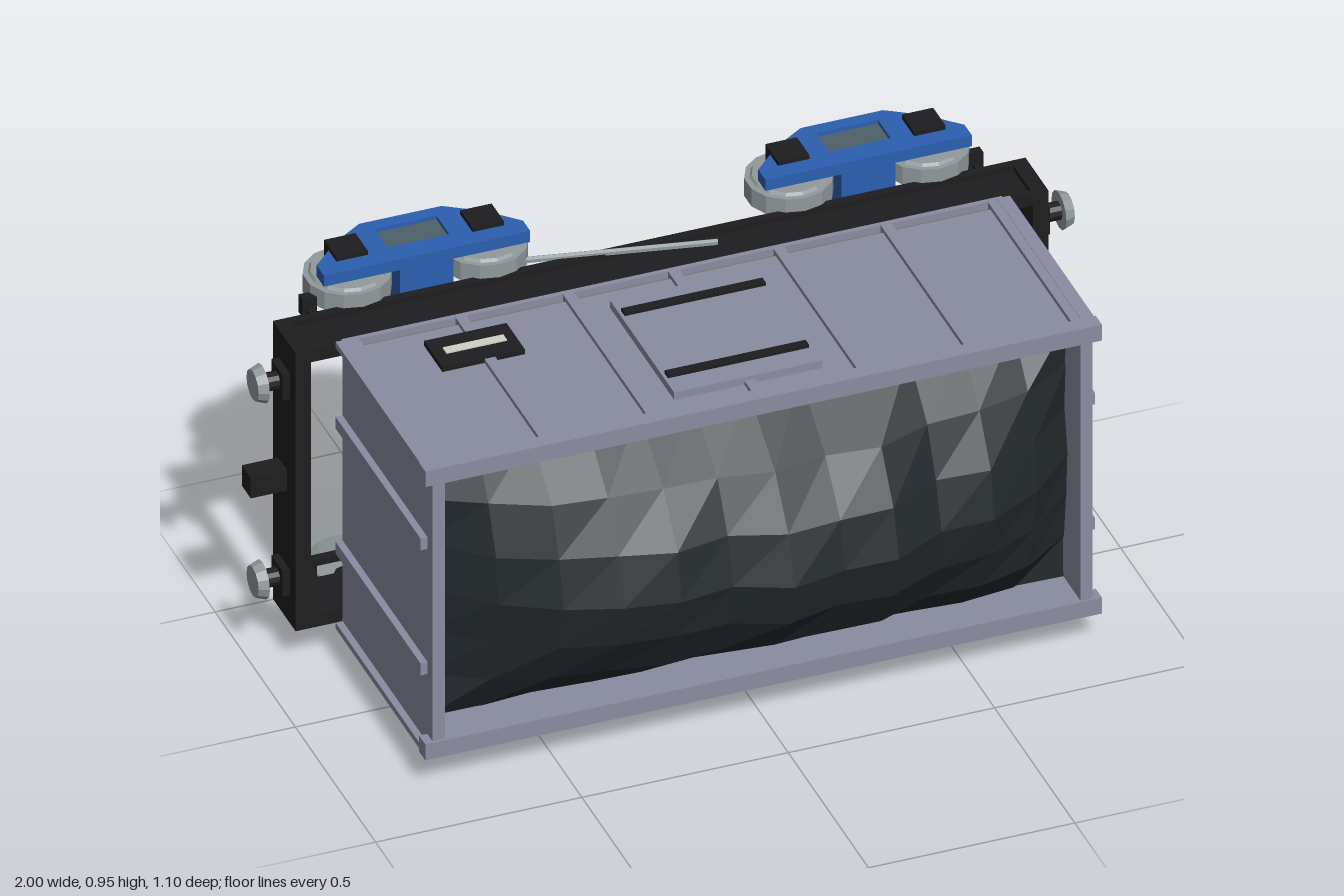
import * as THREE from 'three';

const mat = (color, side = THREE.FrontSide) => new THREE.MeshStandardMaterial({ color, side, flatShading: true });
const BODY = mat(0x8a8ca0), BLACK = mat(0x1d1d1f), BLUE = mat(0x2b5fb0), STEEL = mat(0x929a9c, THREE.DoubleSide);
const FLOOR = mat(0x77756c), COAL = mat(0x23292c, THREE.DoubleSide), PANEL = mat(0x4c5f68), LABEL = mat(0xd0d0c4);

function add(parent, name, geometry, material, x = 0, y = 0, z = 0) {
  const mesh = new THREE.Mesh(geometry, material);
  mesh.name = name;
  mesh.position.set(x, y, z);
  parent.add(mesh);
  return mesh;
}

// box from its bounds, in any order
function box(parent, name, material, x0, x1, y0, y1, z0, z1) {
  const g = new THREE.BoxGeometry(Math.abs(x1 - x0), Math.abs(y1 - y0), Math.abs(z1 - z0));
  return add(parent, name, g, material, (x0 + x1) / 2, (y0 + y1) / 2, (z0 + z1) / 2);
}

// The wagon lies on its side: length on x, width on y, its own up is +z
function makeBody() {
  const g = new THREE.Group();
  g.name = 'body';
  box(g, 'floor', FLOOR, -0.79, 0.79, -0.37, 0.37, -0.225, -0.19);
  for (const s of [-1, 1]) {
    // long sides
    box(g, 'sideWall', BODY, -0.795, 0.795, s * 0.35, s * 0.378, -0.2, 0.34);
    box(g, 'sideRim', BODY, -0.82, 0.82, s * 0.35, s * 0.393, 0.308, 0.347);
    box(g, 'sideSill', BODY, -0.8, 0.8, s * 0.37, s * 0.388, -0.228, -0.215);
    for (const x of [-0.775, -0.515, -0.255, 0, 0.255, 0.515, 0.775])
      box(g, 'sideRib', BODY, x - 0.013, x + 0.013, s * 0.37, s * 0.389, -0.22, 0.31);
    // door with two bars
    box(g, 'door', BODY, -0.183, 0.175, s * 0.375, s * 0.398, -0.14, 0.26);
    for (const z of [-0.08, 0.19])
      box(g, 'doorBar', BLACK, -0.175, 0.167, s * 0.39, s * 0.406, z - 0.011, z + 0.011);
    // plate
    box(g, 'plate', BLACK, -0.63, -0.43, s * 0.375, s * 0.391, -0.15, -0.035);
    box(g, 'plateStrip', LABEL, -0.602, -0.455, s * 0.38, s * 0.394, -0.106, -0.082);
    // ends
    box(g, 'endWall', BODY, s * 0.77, s * 0.8, -0.38, 0.38, -0.22, 0.34);
    for (const y of [-0.17, 0.17])
      box(g, 'endRib', BODY, s * 0.79, s * 0.817, y - 0.016, y + 0.016, -0.22, 0.31);
    for (const y of [-0.382, 0.382])
      box(g, 'cornerPost', BODY, s * 0.785, s * 0.817, y - 0.008, y + 0.008, -0.22, 0.31);
  }
  return g;
}

// faceted heap: product of a lengthwise and a crosswise profile
function makeLoad() {
  const along = [0, 0.39, 0.64, 0.79, 0.87, 0.81, 1, 0.915, 0.92, 0.69, 0.68, 0.44, 0];
  const across = [0, 0.62, 0.92, 1, 0.92, 0.62, 0];
  const geo = new THREE.PlaneGeometry(1.56, 0.71, 12, 6);
  const p = geo.attributes.position;
  for (let k = 0; k < p.count; k++) {
    const i = k % 13, j = Math.floor(k / 13);
    const dent = j === 3 ? 0 : 0.02 * Math.abs(Math.sin(i * 7.3 + j * 4.1));
    p.setZ(k, 0.25 + 0.295 * along[i] * across[j] - dent);
  }
  const load = new THREE.Mesh(geo, COAL);
  load.name = 'load';
  return load;
}

function makeChassis() {
  const g = new THREE.Group();
  g.name = 'chassis';
  for (const s of [-1, 1]) {
    // channel beams along both sides
    box(g, 'sideBeam', BLACK, -0.91, 0.91, s * 0.345, s * 0.365, -0.365, -0.225);
    box(g, 'upperFlange', BLACK, -0.91, 0.91, s * 0.345, s * 0.378, -0.24, -0.225);
    box(g, 'lowerFlange', BLACK, -0.91, 0.91, s * 0.345, s * 0.378, -0.367, -0.345);
    // ends with coupler and buffers
    box(g, 'endBeam', BLACK, s * 0.875, s * 0.912, -0.378, 0.378, -0.367, -0.225);
    box(g, 'coupler', BLACK, s * 0.9, s, -0.028, 0.028, -0.333, -0.278);
    for (const y of [-0.267, 0.267]) {
      box(g, 'bufferBase', BLACK, s * 0.905, s * 0.93, y - 0.035, y + 0.035, -0.33, -0.26);
      const stem = add(g, 'bufferStem', new THREE.CylinderGeometry(0.022, 0.022, 0.06, 12), BLACK, s * 0.945, y, -0.295);
      stem.rotation.z = -s * Math.PI / 2;
      const head = add(g, 'bufferHead', new THREE.CylinderGeometry(0.038, 0.047, 0.024, 12), STEEL, s * 0.977, y, -0.295);
      head.rotation.z = -s * Math.PI / 2;
    }
    // slanting brake rod
    const path = new THREE.LineCurve3(new THREE.Vector3(-0.3, s * 0.379, -0.39), new THREE.Vector3(0.14, s * 0.379, -0.3));
    add(g, 'brakeRod', new THREE.TubeGeometry(path, 1, 0.008, 6), STEEL);
    box(g, 'bolsterPad', BLACK, s * 0.43, s * 0.63, -0.11, 0.11, -0.376, -0.22);
  }
  box(g, 'brakePipe', BLACK, -0.89, 0.89, -0.225, -0.207, -0.262, -0.242);
  const tank = add(g, 'airTank', new THREE.CylinderGeometry(0.05, 0.05, 0.245, 12), BLACK, 0, 0, -0.388);
  tank.rotation.z = Math.PI / 2;
  box(g, 'tankHanger', BLACK, -0.06, 0.06, -0.03, 0.03, -0.37, -0.22);
  return g;
}

// side frame outline in x and z, with a window in the middle
function frameGeometry() {
  const pts = [[-0.25, -0.375], [0.25, -0.375], [0.25, -0.42], [0.18, -0.49], [0.1, -0.542],
    [-0.1, -0.542], [-0.18, -0.49], [-0.25, -0.42]];
  const shape = new THREE.Shape(pts.map(([x, z]) => new THREE.Vector2(x, -z)));
  const hole = [[-0.075, 0.43], [-0.075, 0.51], [0.075, 0.51], [0.075, 0.43]];
  shape.holes.push(new THREE.Path(hole.map(([x, z]) => new THREE.Vector2(x, z))));
  const geo = new THREE.ExtrudeGeometry(shape, { depth: 0.03, bevelEnabled: false });
  geo.translate(0, 0, -0.015);
  return geo.rotateX(-Math.PI / 2);
}

function makeBogie(end) {
  const g = new THREE.Group();
  g.name = 'bogie';
  g.position.x = end * 0.535;
  box(g, 'bolster', BLUE, -0.065, 0.065, -0.44, 0.44, -0.435, -0.376);
  for (const y of [-0.14, 0.14])
    box(g, 'bolsterSeam', BLACK, -0.066, 0.066, y - 0.003, y + 0.003, -0.436, -0.378);
  // bowl-shaped wheel, open towards the middle
  const wheelProfile = [[0, 0.025], [0.085, 0.025], [0.09, 0.018], [0.102, 0.018], [0.102, -0.03], [0.09, -0.03], [0.085, 0.018], [0, 0.018]];
  for (const s of [-1, 1]) {
    add(g, 'sideFrame', frameGeometry(), BLUE, 0, s * 0.45, 0);
    box(g, 'framePanel', PANEL, -0.078, 0.078, s * 0.44, s * 0.455, -0.512, -0.428);
    for (const x of [-0.165, 0.165]) {
      const wheel = add(g, 'wheel', new THREE.LatheGeometry(wheelProfile.map(([r, h]) => new THREE.Vector2(r, h)), 14), STEEL, x, s * 0.395, -0.448);
      if (s < 0) wheel.rotation.x = Math.PI;
      const stub = new THREE.CylinderGeometry(0.028, 0.028, 0.04, 10);
      add(g, 'axleStub', stub, BLACK, x, s * 0.432, -0.453);
      box(g, 'axleBox', BLACK, x - 0.038, x + 0.038, s * 0.425, s * 0.476, -0.495, -0.418);
    }
    // brake block at the outer end
    box(g, 'brakeBlock', BLACK, end * 0.255, end * 0.29, s * 0.342, s * 0.39, -0.43, -0.406);
    box(g, 'brakeHanger', BLACK, end * 0.265, end * 0.28, s * 0.35, s * 0.362, -0.41, -0.36);
  }
  return g;
}

export function createModel() {
  const model = new THREE.Group();
  model.name = 'freightWagon';
  const wagon = new THREE.Group();
  wagon.name = 'wagon';
  wagon.position.y = 0.476;
  wagon.add(makeBody(), makeLoad(), makeChassis(), makeBogie(-1), makeBogie(1));
  model.add(wagon);
  return model;
}
